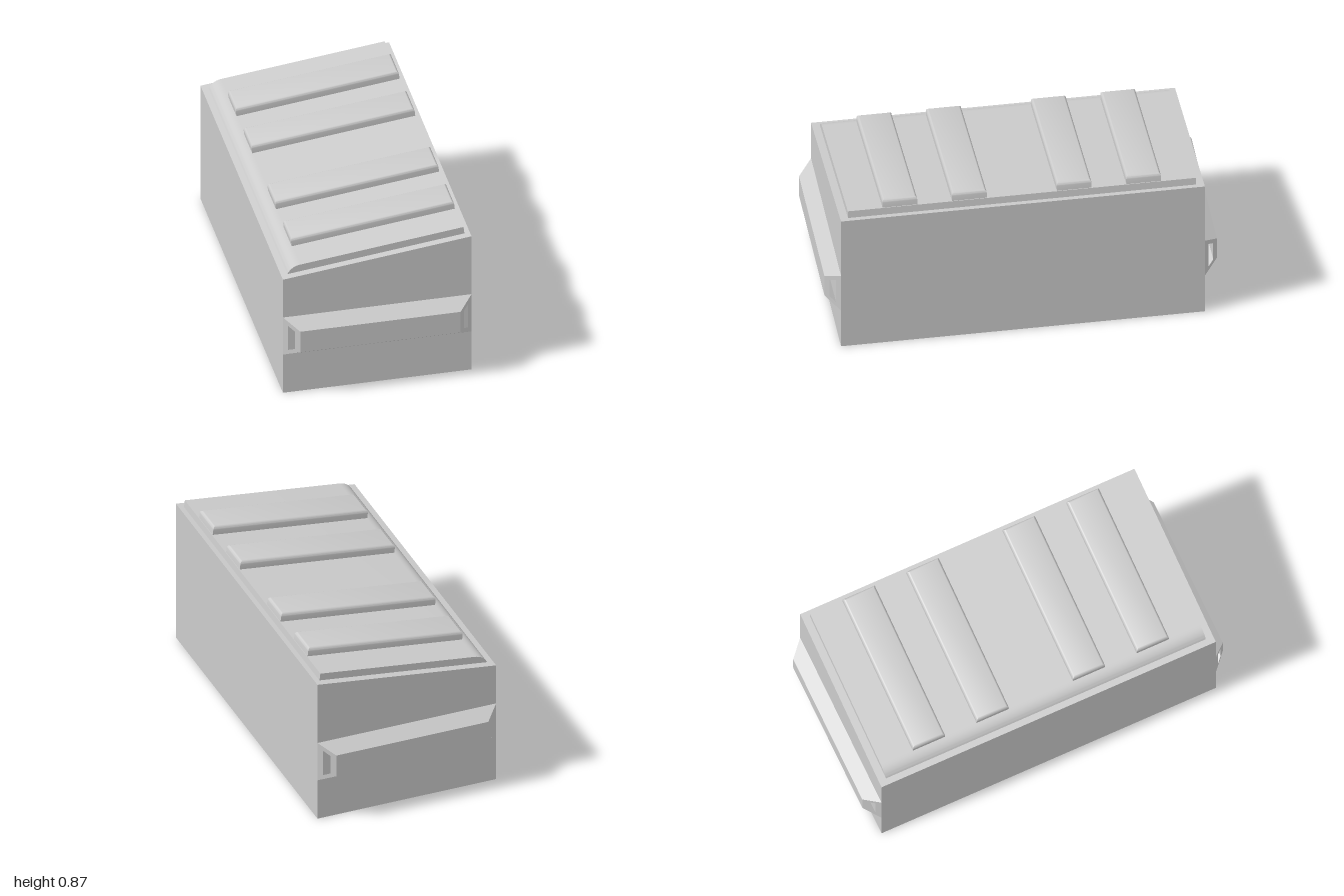
import * as THREE from 'three';
import { toCreasedNormals } from 'three/addons/utils/BufferGeometryUtils.js';

const HALF_W = 0.487, HALF_L = 0.927, DEPTH = 1.0;
const LOW = 0.676, HIGH = 0.796;
const material = new THREE.MeshStandardMaterial({ color: 0xcccccc });

function part(name, geometry) {
  const mesh = new THREE.Mesh(geometry, material);
  mesh.name = name;
  return mesh;
}

const polygon = (points) => points.map(([x, y]) => new THREE.Vector2(x, y));

// Extrude a profile along z, centred on z = 0
function extrudeCentred(shape, length) {
  const geometry = new THREE.ExtrudeGeometry(shape, {
    depth: length, bevelEnabled: false, curveSegments: 10,
  });
  return geometry.translate(0, 0, -length / 2);
}

// Wedge-shaped body with a sloping top
function bodyGeometry() {
  const shape = new THREE.Shape(polygon([[-HALF_W, 0], [HALF_W, 0], [HALF_W, HIGH], [-HALF_W, LOW]]));
  return extrudeCentred(shape, HALF_L * 2);
}

// Hollow handle bar whose ends slant inwards as it leaves the body
function handleGeometry() {
  const shape = new THREE.Shape(polygon([[HALF_L, 0.228], [DEPTH, 0.277], [DEPTH, 0.4], [HALF_L, 0.45]]));
  shape.holes.push(new THREE.Path(polygon([[0.949, 0.267], [0.949, 0.41], [0.977, 0.39], [0.977, 0.286]])));
  const geometry = extrudeCentred(shape, HALF_W * 2).rotateY(-Math.PI / 2);
  const p = geometry.attributes.position;
  for (let i = 0; i < p.count; i++) {
    p.setX(i, Math.sign(p.getX(i)) * (HALF_W - (p.getZ(i) - HALF_L)));
  }
  geometry.computeVertexNormals();
  return geometry;
}

// Foot pad, rounded over at its low end
function padGeometry() {
  const shape = new THREE.Shape();
  shape.moveTo(-0.459, -0.002);
  shape.lineTo(0.463, -0.002);
  shape.lineTo(0.463, 0.039);
  shape.lineTo(-0.385, 0.039);
  shape.quadraticCurveTo(-0.435, 0.039, -0.459, -0.002);
  return toCreasedNormals(extrudeCentred(shape, 0.887 * 2), 0.5);
}

// Raised rib: stacked rectangles that round over towards the top
function ribGeometry(x0, x1, width) {
  const base = 0.037, top = 0.085, radius = 0.018, steps = 5;
  const rings = [[0, base]];
  for (let k = 0; k <= steps; k++) {
    const a = (k / steps) * Math.PI / 2;
    rings.push([radius * (1 - Math.cos(a)), top - radius * (1 - Math.sin(a))]);
  }
  const vertices = [], index = [];
  rings.forEach(([inset, y], r) => {
    const l = x0 + inset, h = x1 - inset, w = width / 2 - inset;
    vertices.push(l, y, w, h, y, w, h, y, -w, l, y, -w);
    if (r === 0) return;
    for (let i = 0; i < 4; i++) {
      const j = (i + 1) % 4, lo = (r - 1) * 4, hi = r * 4;
      index.push(lo + i, lo + j, hi + j, lo + i, hi + j, hi + i);
    }
  });
  const t = (rings.length - 1) * 4;
  index.push(t, t + 1, t + 2, t, t + 2, t + 3);
  const geometry = new THREE.BufferGeometry();
  geometry.setAttribute('position', new THREE.Float32BufferAttribute(vertices, 3));
  geometry.setIndex(index);
  return toCreasedNormals(geometry, 0.5);
}

export function createModel() {
  const model = new THREE.Group();
  model.name = 'slopedStepBlock';
  model.add(part('body', bodyGeometry()));

  // Handles at the front and back
  const handle = handleGeometry();
  const frontHandle = part('frontHandle', handle);
  const backHandle = part('backHandle', handle);
  backHandle.rotation.y = Math.PI;
  model.add(frontHandle, backHandle);

  // Tilted top: pad and four ribs
  const deck = new THREE.Group();
  deck.name = 'slopedTop';
  deck.position.y = (LOW + HIGH) / 2;
  deck.rotation.z = Math.atan2(HIGH - LOW, HALF_W * 2);
  deck.add(part('footPad', padGeometry()));
  const rib = ribGeometry(-0.39, 0.459, 0.178);
  [-0.621, -0.267, 0.267, 0.621].forEach((z, i) => {
    const mesh = part(`rib${i + 1}`, rib);
    mesh.position.z = z;
    deck.add(mesh);
  });
  model.add(deck);
  return model;
}
